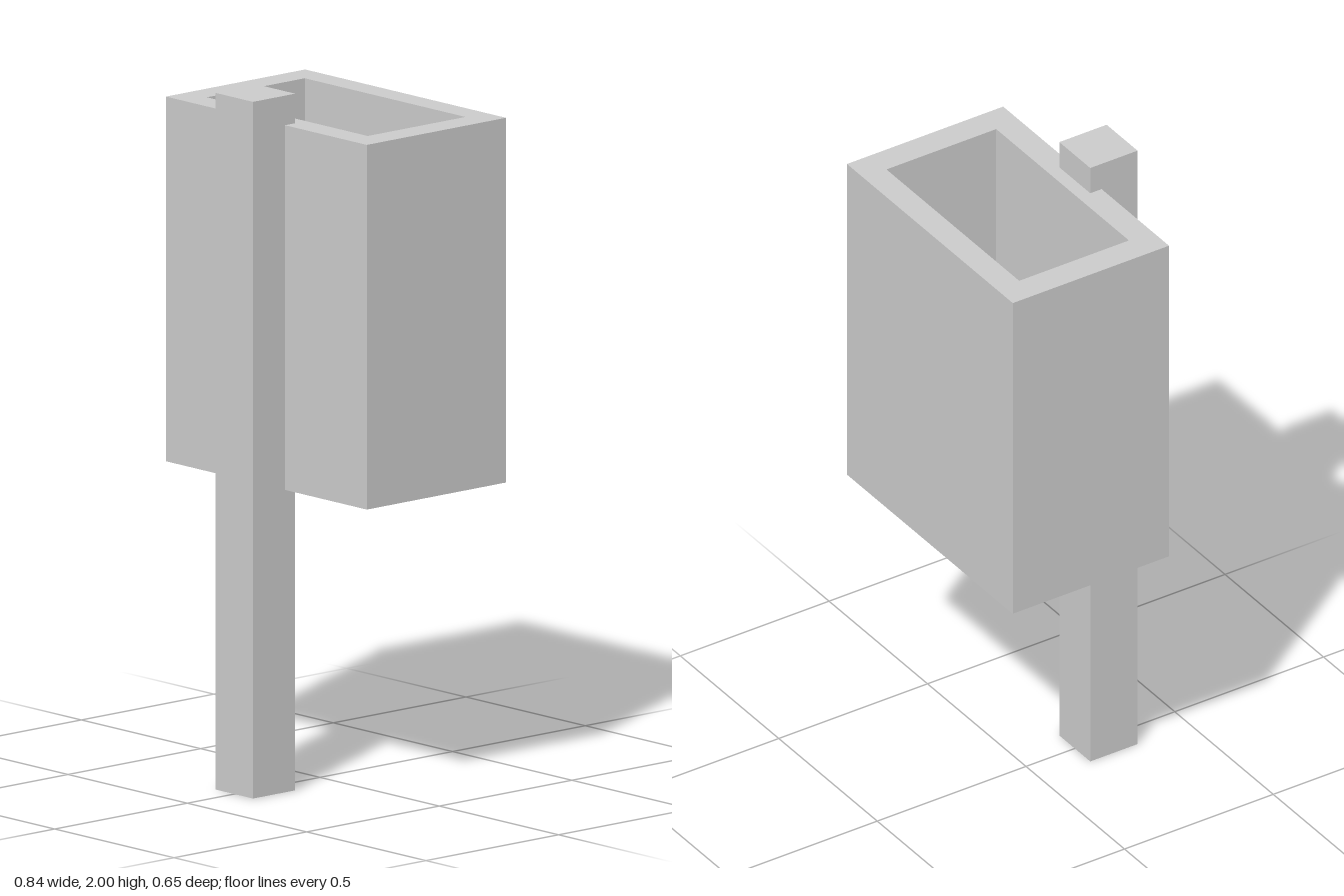
import * as THREE from 'three';

const material = new THREE.MeshStandardMaterial({ color: 0xcccccc, flatShading: true });

// Rectangle at height y, counter-clockwise seen from above
const rect = (x, back, front, y) => [[x, y, front], [x, y, back], [-x, y, back], [-x, y, front]];

// Skin a stack of rectangles, closing the first and last
function skin(loops) {
  const positions = [];
  const quad = (a, b, c, d) => positions.push(...a, ...b, ...c, ...a, ...c, ...d);
  for (let k = 0; k < loops.length - 1; k++) {
    const a = loops[k], b = loops[k + 1];
    for (let i = 0; i < 4; i++) {
      const j = (i + 1) % 4;
      quad(a[i], a[j], b[j], b[i]);
    }
  }
  quad(...[...loops[0]].reverse());
  quad(...loops[loops.length - 1]);
  const geometry = new THREE.BufferGeometry();
  geometry.setAttribute('position', new THREE.Float32BufferAttribute(positions, 3));
  geometry.computeVertexNormals();
  return geometry;
}

export function createModel() {
  const group = new THREE.Group();

  // Open-topped container: outer walls, rim, inner walls, floor
  const bottom = 0.868, top = 1.915, floor = 0.08;
  const container = new THREE.Mesh(skin([
    rect(0.421, -0.323, 0.202, bottom),
    rect(0.421, -0.323, 0.202, top),
    rect(0.337, -0.246, 0.123, top),
    rect(0.337, -0.246, 0.123, bottom + floor),
  ]), material);
  container.name = 'container';
  group.add(container);

  // Square post let into the front wall
  const post = new THREE.Mesh(new THREE.BoxGeometry(0.157, 2, 0.159), material);
  post.position.set(0, 1, 0.2435);
  post.name = 'post';
  group.add(post);

  return group;
}
